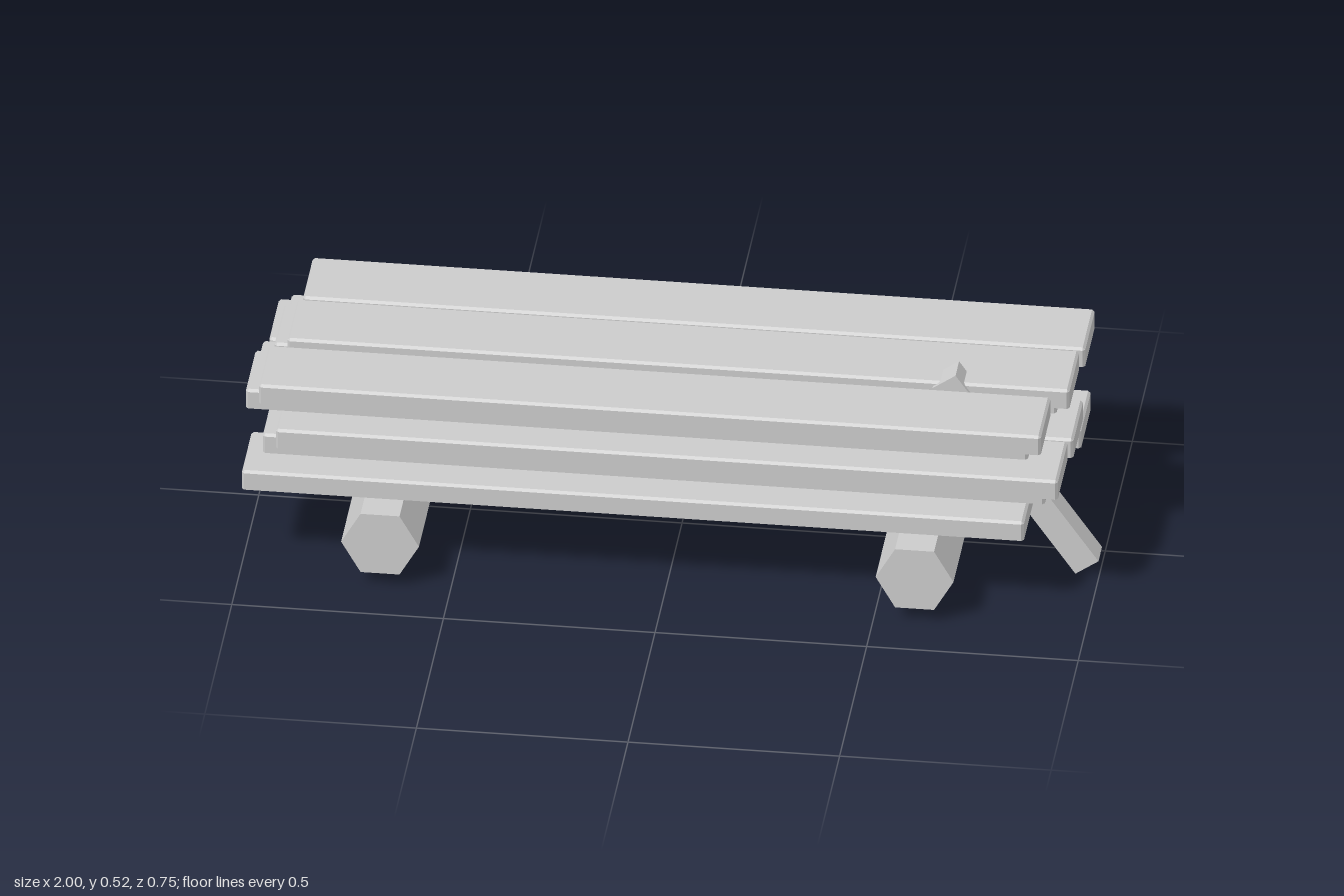
import * as THREE from 'three';

const LENGTH = 1.848, WIDTH = 0.185, HEIGHT = 0.0505, BEVEL = 0.006;

// Plank shell: open underneath, chamfered upright corners and top edges
function plankGeometry() {
  const hx = LENGTH / 2, hz = WIDTH / 2, ix = hx - BEVEL, iz = hz - BEVEL;
  const outline = [[hx, iz], [hx, -iz], [ix, -hz], [-ix, -hz], [-hx, -iz], [-hx, iz], [-ix, hz], [ix, hz]];
  const inner = outline.map(([x, z]) => [Math.sign(x) * ix, Math.sign(z) * iz]);
  const pos = [];
  const tri = (...pts) => pts.forEach((p) => pos.push(...p));
  const at = ([x, z], y) => [x, y, z];
  outline.forEach((a, i) => {
    const j = (i + 1) % 8, b = outline[j], shoulder = HEIGHT - BEVEL;
    const a0 = at(a, 0), b0 = at(b, 0), a1 = at(a, shoulder), b1 = at(b, shoulder);
    const a2 = at(inner[i], HEIGHT), b2 = at(inner[j], HEIGHT);
    tri(a0, b0, b1);
    tri(a0, b1, a1);
    tri(a1, b1, b2);
    if (i % 2 === 0) tri(a1, b2, a2); // corner chamfers end in a single point
  });
  const [p, q, r, s] = [[ix, iz], [ix, -iz], [-ix, -iz], [-ix, iz]].map((c) => at(c, HEIGHT));
  tri(p, q, r);
  tri(p, r, s);
  const geo = new THREE.BufferGeometry();
  geo.setAttribute('position', new THREE.Float32BufferAttribute(pos, 3));
  geo.computeVertexNormals();
  return geo;
}

export function createModel() {
  const model = new THREE.Group();
  model.name = 'plankStack';
  const wood = new THREE.MeshStandardMaterial({ color: 0xcccccc, flatShading: true, side: THREE.DoubleSide });
  wood.name = 'greyWood';

  const add = (name, geo, x, y, z) => {
    const mesh = new THREE.Mesh(geo, wood);
    mesh.name = name;
    mesh.position.set(x, y, z);
    model.add(mesh);
    return mesh;
  };

  // Five layers of planks, staggered sideways and lengthwise; the top layer has two
  const plank = plankGeometry();
  for (let row = 0; row < 5; row++) {
    const frontZ = row % 2 ? 0.1525 : 0.226;
    for (let col = 0; col < (row === 4 ? 2 : 3); col++) {
      const startX = -1 + 0.04 * ((row + col) % 3);
      add('plank', plank, startX + LENGTH / 2, 0.207 + 0.0595 * row, frontZ - 0.2165 * col);
    }
  }

  // Two six-sided support logs
  const log = new THREE.CylinderGeometry(0.092, 0.092, 0.745, 6, 1, false, Math.PI / 6);
  log.rotateX(Math.PI / 2);
  for (const x of [-0.666, 0.597]) add('supportLog', log, x, 0.115, 0);

  // Slanted stake running through the stack
  const stake = add('stake', new THREE.BoxGeometry(0.0666, 0.589, 0.066), 0.802, 0.261, 0.078);
  stake.rotation.z = THREE.MathUtils.degToRad(35);

  return model;
}
